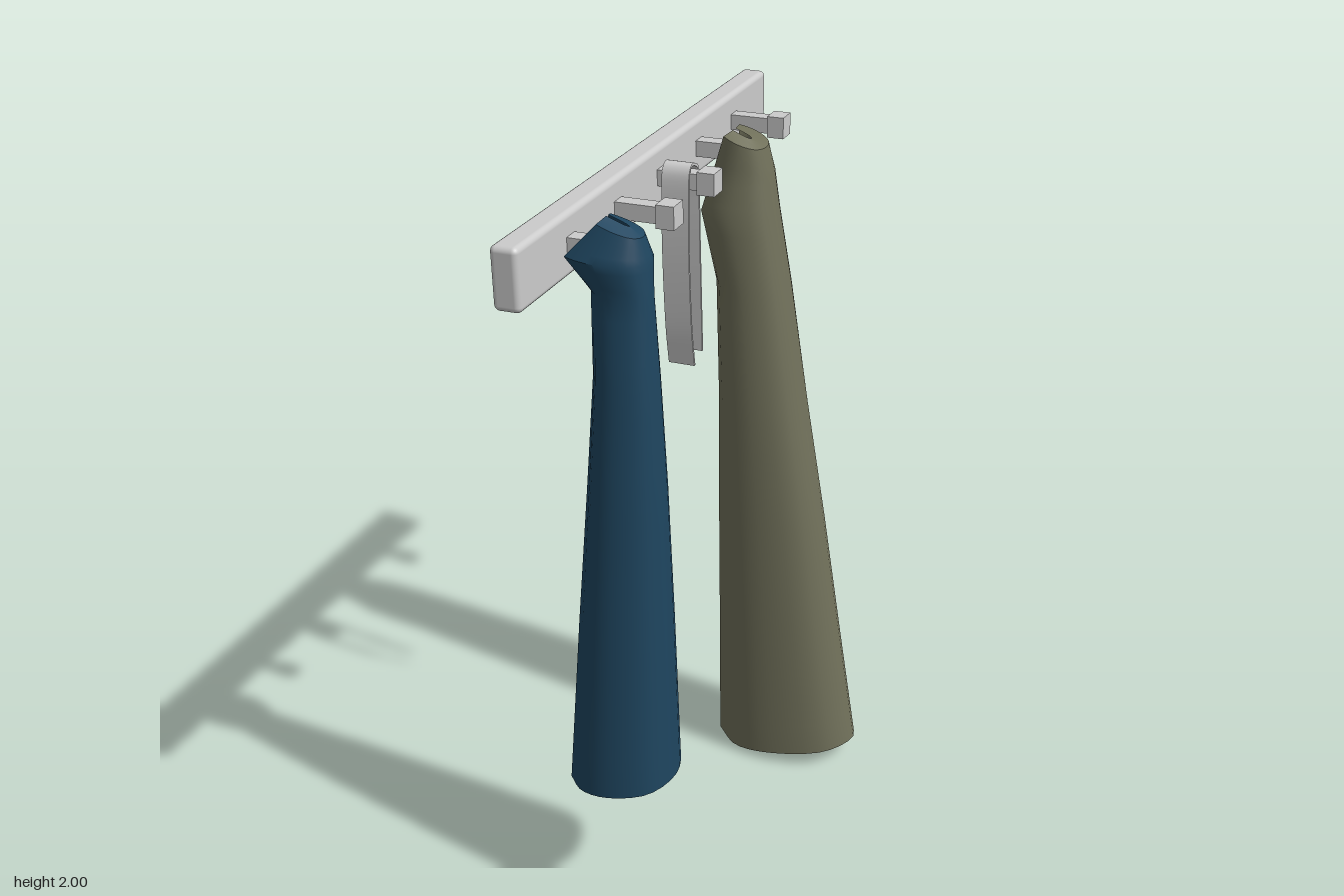
import * as THREE from 'three';
import { RoundedBoxGeometry } from 'three/addons/geometries/RoundedBoxGeometry.js';
import { toCreasedNormals } from 'three/addons/utils/BufferGeometryUtils.js';

const grey = new THREE.MeshStandardMaterial({ color: 0xcccccc });
const cloth = (color) => new THREE.MeshStandardMaterial({ color, side: THREE.DoubleSide });

function add(parent, name, geometry, material, x = 0, y = 0, z = 0) {
  const mesh = new THREE.Mesh(geometry, material);
  mesh.name = name;
  mesh.position.set(x, y, z);
  parent.add(mesh);
  return mesh;
}

// Hanging cloth: open C-shaped sections, each
// [yBack, yFront, xFront, zMax, zMin, end A x, end A z, end B x, end B z]
function drape(sections, steps = 4, sides = 28) {
  const pos = [], index = [];
  const rows = [];
  for (let i = 0; i < sections.length - 1; i++) {
    for (let s = 0; s < steps; s++) {
      rows.push(sections[i].map((v, k) => THREE.MathUtils.lerp(v, sections[i + 1][k], s / steps)));
    }
  }
  rows.push(sections[sections.length - 1]);
  for (const [yBack, yFront, xF, zMax, zMin, ax, az, bx, bz] of rows) {
    const zc = (zMax + zMin) / 2, rz = (zMax - zMin) / 2;
    const xm = xF - (xF - Math.min(ax, bx)) * 0.5, rx = xF - xm;
    const P = (x, z) => new THREE.Vector3(x, 0, z);
    const curve = new THREE.CatmullRomCurve3([
      P(ax, az),
      P((ax + xm) / 2 - rx * 0.1, az + (zMax - az) * 0.8),
      P(xm, zMax),
      P(xm + rx * 0.72, zc + rz * 0.72),
      P(xF, zc),
      P(xm + rx * 0.72, zc - rz * 0.72),
      P(xm, zMin),
      P((bx + xm) / 2 - rx * 0.1, bz + (zMin - bz) * 0.8),
      P(bx, bz),
    ]);
    const xBack = Math.min(ax, bx);
    for (let j = 0; j <= sides; j++) {
      const p = curve.getPoint(j / sides);
      const t = (p.x - xBack) / Math.max(xF - xBack, 0.001);
      pos.push(p.x, yBack + (yFront - yBack) * t, p.z);
    }
  }
  const w = sides + 1;
  for (let i = 0; i < rows.length - 1; i++) {
    for (let j = 0; j < sides; j++) {
      const a = i * w + j, b = a + 1, c = a + w, d = c + 1;
      index.push(a, b, c, b, d, c);
    }
  }
  const g = new THREE.BufferGeometry();
  g.setAttribute('position', new THREE.Float32BufferAttribute(pos, 3));
  g.setIndex(index);
  return toCreasedNormals(g, 0.6);
}

// Thin looped ribbon: the path is thickened to both sides and extruded to its width
function ribbon(path, thickness, width) {
  const curve = new THREE.SplineCurve(path.map(([z, y]) => new THREE.Vector2(z, y)));
  const outer = [], inner = [];
  for (let i = 0; i <= 40; i++) {
    const p = curve.getPoint(i / 40), t = curve.getTangent(i / 40);
    const n = new THREE.Vector2(-t.y, t.x).multiplyScalar(thickness / 2);
    outer.push(p.clone().add(n));
    inner.unshift(p.clone().sub(n));
  }
  const g = new THREE.ExtrudeGeometry(new THREE.Shape([...outer, ...inner]), {
    depth: width, bevelEnabled: false,
  });
  return toCreasedNormals(g.rotateY(-Math.PI / 2), 0.6);
}

export function createModel() {
  const model = new THREE.Group();
  model.name = 'coatRack';

  // Wall rail
  add(model, 'rail', new RoundedBoxGeometry(0.07, 0.155, 1.59, 3, 0.015), grey, -0.255, 1.92, 0);

  // Five square pegs with knobs
  for (let i = -2; i <= 2; i++) {
    const peg = new THREE.Group();
    peg.name = 'peg';
    peg.position.set(0, 1.92, i * 0.265);
    add(peg, 'pegShaft', new THREE.BoxGeometry(0.13, 0.043, 0.043), grey, -0.165);
    add(peg, 'pegKnob', new THREE.BoxGeometry(0.048, 0.06, 0.06), grey, -0.084);
    model.add(peg);
  }

  // Strap looped over the middle peg
  const strapPath = [[0.004, 1.4], [0.022, 1.52], [0.032, 1.72], [0.028, 1.9], [0.012, 1.953],
    [-0.02, 1.953], [-0.042, 1.92], [-0.045, 1.75], [-0.053, 1.42]];
  add(model, 'strap', ribbon(strapPath, 0.007, 0.075), grey, -0.13);

  // Short blue coat, hooded over its peg, open toward the wall
  add(model, 'blueCoat', drape([
    [0.405, 0.43, 0.012, 0.67, 0.375, -0.265, 0.605, -0.265, 0.455],
    [0.9, 0.91, 0.008, 0.65, 0.405, -0.228, 0.58, -0.228, 0.48],
    [1.3, 1.3, 0.003, 0.63, 0.435, -0.195, 0.56, -0.195, 0.5],
    [1.6, 1.6, -0.005, 0.61, 0.46, -0.172, 0.545, -0.172, 0.515],
    [1.82, 1.82, -0.015, 0.59, 0.475, -0.165, 0.55, -0.165, 0.51],
    [1.91, 1.9, -0.02, 0.605, 0.44, -0.21, 0.59, -0.21, 0.46],
    [1.99, 1.96, -0.035, 0.575, 0.485, -0.135, 0.57, -0.135, 0.49],
    [2.0, 1.98, -0.07, 0.535, 0.525, -0.125, 0.535, -0.125, 0.525],
  ]), cloth(0x1f4660));

  // Long olive coat, swinging outward, with one edge lapping past the other
  add(model, 'oliveCoat', drape([
    [0.005, 0.07, 0.283, -0.13, -0.395, -0.16, -0.243, -0.01, -0.265],
    [0.4, 0.45, 0.222, -0.14, -0.39, -0.16, -0.245, -0.03, -0.27],
    [0.8, 0.83, 0.163, -0.15, -0.382, -0.16, -0.245, -0.055, -0.275],
    [1.2, 1.2, 0.1, -0.16, -0.378, -0.16, -0.25, -0.08, -0.275],
    [1.55, 1.55, 0.045, -0.172, -0.372, -0.165, -0.25, -0.11, -0.28],
    [1.76, 1.76, 0.01, -0.175, -0.365, -0.195, -0.215, -0.125, -0.31],
    [1.87, 1.87, -0.008, -0.19, -0.355, -0.16, -0.215, -0.13, -0.33],
    [1.975, 1.94, -0.025, -0.195, -0.335, -0.125, -0.205, -0.125, -0.325],
    [1.985, 1.965, -0.06, -0.235, -0.255, -0.11, -0.235, -0.11, -0.255],
  ]), cloth(0x70705a));

  return model;
}
